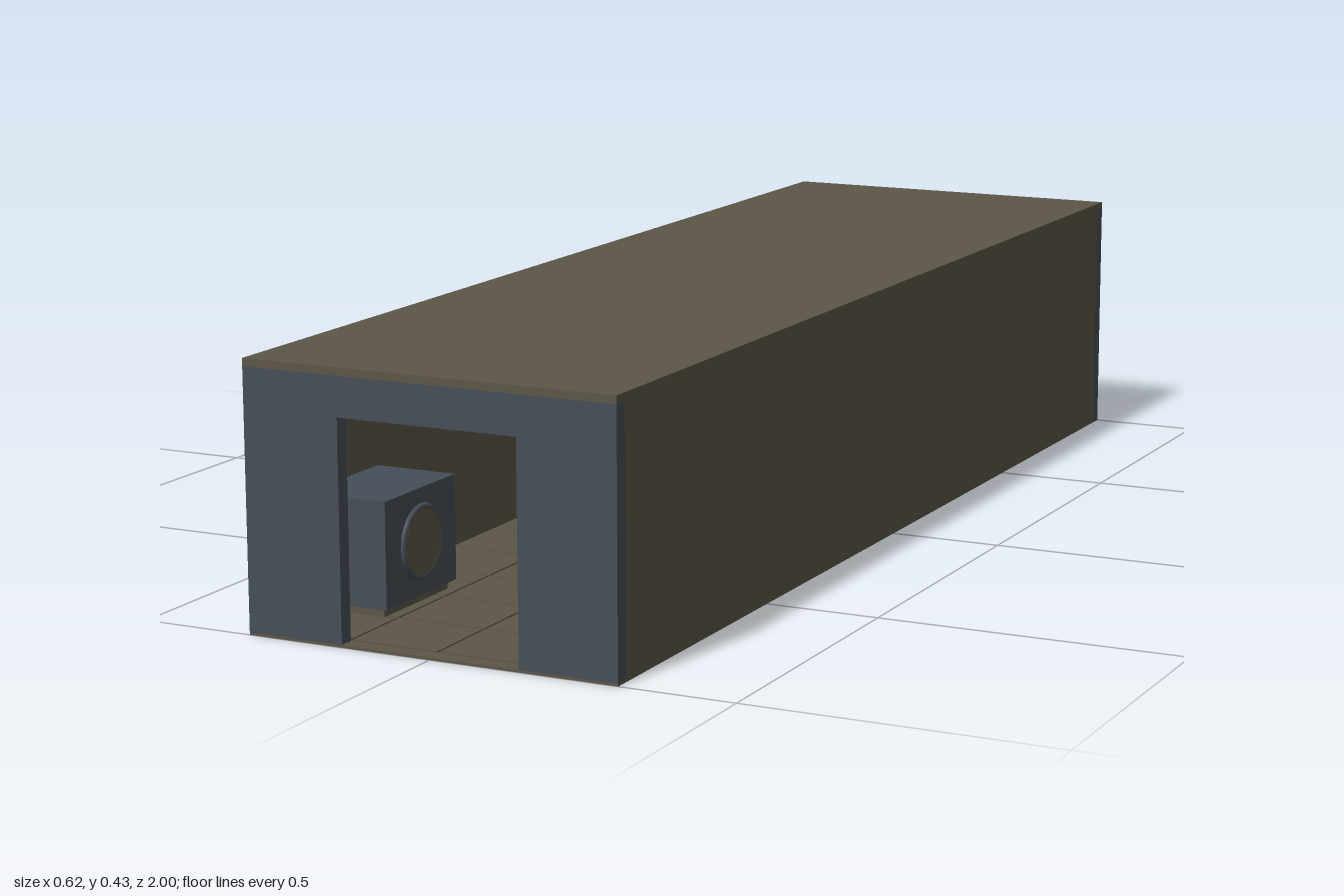
import * as THREE from 'three';

export function createModel() {
  const model = new THREE.Group();
  const make = (name, color) => {
    const m = new THREE.MeshStandardMaterial({ color });
    m.name = name;
    return m;
  };
  const tan = make('tan panel', 0x5c5647);
  const blue = make('slate blue', 0x454e57);

  const W = 0.625, H = 0.425, L = 2, T = 0.0125;

  const add = (name, geometry, material, x, y, z, parent = model) => {
    const mesh = new THREE.Mesh(geometry, material);
    mesh.name = name;
    mesh.position.set(x, y, z);
    parent.add(mesh);
    return mesh;
  };
  const box = (name, material, w, h, d, x, y, z, parent) =>
    add(name, new THREE.BoxGeometry(w, h, d), material, x, y, z, parent);

  // Outer shell: thin floor, roof and two long walls
  box('floor', tan, W, 0.004, L, 0, 0.002, 0);
  box('roof', tan, W, T, L, 0, H - T / 2, 0);
  for (const s of [-1, 1]) {
    box(s > 0 ? 'leftWall' : 'rightWall', tan, T, H - T - 0.004, L - 0.05,
      s * (W - T) / 2, (H - T + 0.004) / 2, 0);
  }

  // Front wall with an open doorway reaching the floor
  const wallShape = new THREE.Shape([
    [-W / 2, 0], [-0.15, 0], [-0.15, 0.35], [0.15, 0.35], [0.15, 0],
    [W / 2, 0], [W / 2, H - T], [-W / 2, H - T],
  ].map(([x, y]) => new THREE.Vector2(x, y)));
  add('frontWall', new THREE.ExtrudeGeometry(wallShape, { depth: 0.025, bevelEnabled: false }),
    blue, 0, 0, L / 2 - 0.025);

  // Closed back wall
  box('backWall', blue, W, H - T, 0.025, 0, (H - T) / 2, -L / 2 + 0.0125);

  // Floor panels with narrow seams
  const cols = 4, rows = 14, pw = (W - 2 * T) / cols, pd = (L - 0.05) / rows;
  for (let i = 0; i < cols; i++) {
    for (let j = 0; j < rows; j++) {
      box('floorPanel', tan, pw - 0.004, 0.002, pd - 0.004,
        (i + 0.5 - cols / 2) * pw, 0.005, (j + 0.5 - rows / 2) * pd);
    }
  }

  // Cabinet beside the doorway with a round hatch facing the aisle
  const cabinet = new THREE.Group();
  cabinet.name = 'cabinet';
  cabinet.position.set(-0.23, 0.105, 0.75);
  model.add(cabinet);
  box('cabinetBody', blue, 0.14, 0.17, 0.21, 0, 0, 0, cabinet);
  box('cabinetBase', tan, 0.12, 0.016, 0.19, 0, -0.092, 0, cabinet);
  add('hatchRing', new THREE.TorusGeometry(0.055, 0.006, 8, 32), blue, 0.07, 0, 0, cabinet)
    .rotation.y = Math.PI / 2;
  add('hatchDoor', new THREE.CylinderGeometry(0.052, 0.052, 0.006, 32), tan, 0.072, 0, 0, cabinet)
    .rotation.z = Math.PI / 2;

  return model;
}
